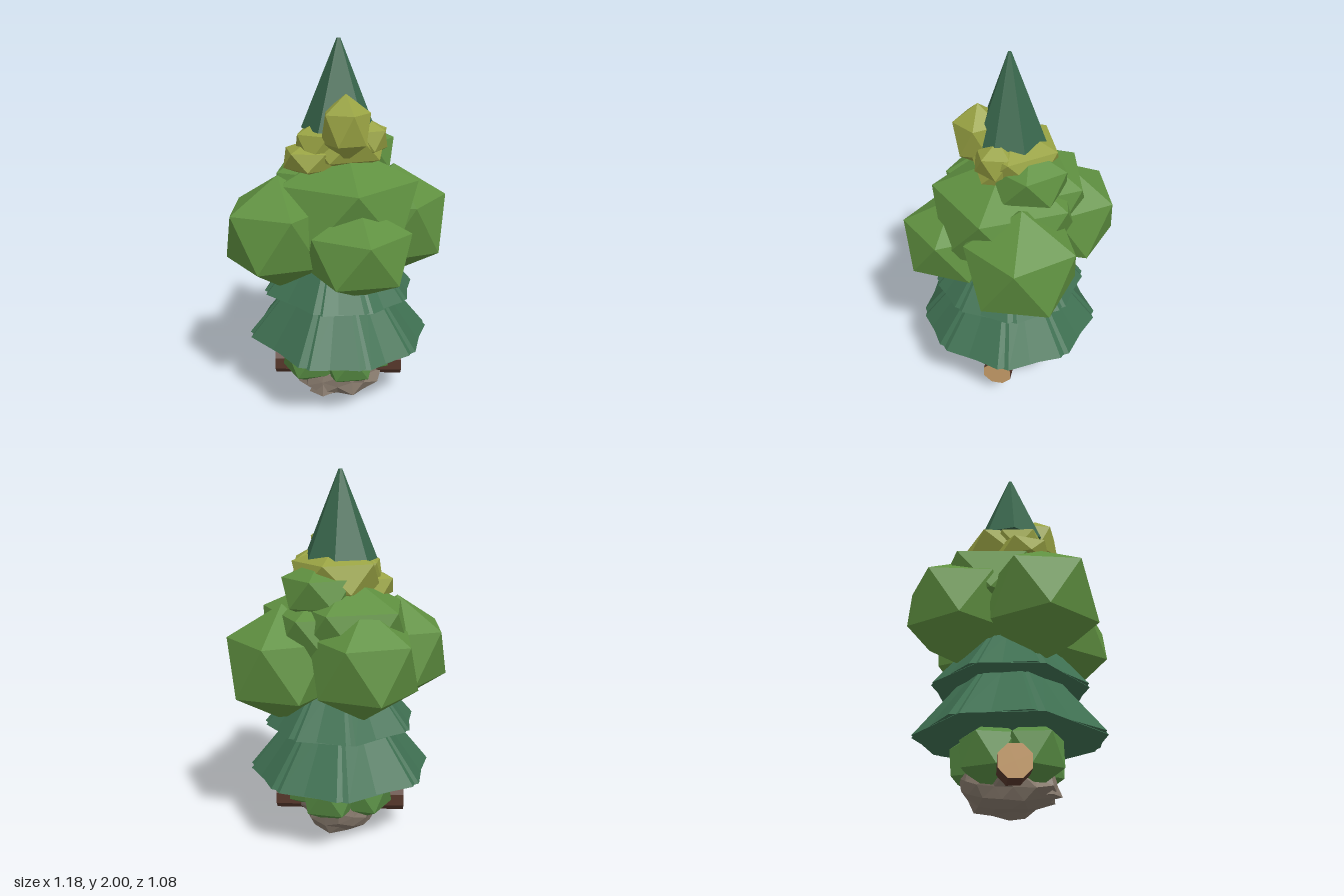
import * as THREE from 'three';

const mat = (color) => new THREE.MeshStandardMaterial({ color, flatShading: true });
const deg = Math.PI / 180;

export function createModel() {
  const model = new THREE.Group();
  const pine = mat(0x3f7052), tipPine = mat(0x38654b), leaf = mat(0x5f9040), lime = mat(0x98a243);
  const bush = mat(0x568a42), stone = mat(0x84776a), bark = mat(0x57382c), wood = mat(0xc69c68);

  const add = (name, geometry, material, x = 0, y = 0, z = 0) => {
    const mesh = new THREE.Mesh(geometry, material);
    mesh.name = name;
    mesh.position.set(x, y, z);
    model.add(mesh);
  };

  // Faceted leaf clump standing on a corner; azimuth turns its upper ring of corners
  const clump = (name, material, [x, y, z, r, h, azimuth]) => {
    const g = new THREE.IcosahedronGeometry(1, 0);
    g.rotateZ(-Math.atan(2 / (1 + Math.sqrt(5))));
    g.rotateY(-azimuth * deg);
    g.scale(r, h, r);
    add(name, g, material, x, y, z);
  };

  // Pine tier: a cone whose corners stand at the given uneven angles
  const tier = (name, material, bottom, top, rBottom, rTop, corners, turn) => {
    const n = corners.length;
    const g = new THREE.CylinderGeometry(rTop, rBottom, top - bottom, n);
    const p = g.attributes.position;
    for (let i = 0; i < p.count; i++) {
      const r = Math.hypot(p.getX(i), p.getZ(i));
      if (r < 1e-6) continue;
      const k = Math.round(Math.atan2(p.getZ(i), p.getX(i)) / (Math.PI * 2 / n) + n * 1.25 + 0.01);
      const a = (corners[k % n] + turn) * deg;
      p.setXYZ(i, r * Math.cos(a), p.getY(i), r * Math.sin(a));
    }
    add(name, g, material, 0, (bottom + top) / 2, 0);
  };
  const tipCorners = [-137, -84, -34, 12, 45, 120, 177];
  const skirtCorners = [-146, -94, -50, -8, 36, 72, 109, 168];
  tier('pineTip', tipPine, 1.55, 2, 0.195, 0.01, tipCorners, 0);
  // Two slightly turned layers make the narrow folds of each skirt
  for (const [turn, lift] of [[-3, 0], [4, 0.004]]) {
    tier('pineMiddleTier', pine, 0.66 + lift, 1.0, 0.415, 0.13, skirtCorners, turn - 6);
    tier('pineLowerTier', pine, 0.39 + lift, 0.8, 0.5, 0.17, skirtCorners, turn);
  }

  // Crown of large leaf clumps: x, y, z, radius, half height, azimuth
  [
    [-0.31, 1.02, 0.145, 0.315, 0.31, 143],
    [0.11, 0.965, 0.28, 0.3, 0.25, 78],
    [0.30, 1.01, -0.12, 0.325, 0.32, -4],
    [-0.13, 1.05, -0.275, 0.31, 0.3, -72],
    [0.04, 1.14, 0.01, 0.43, 0.32, 80],
    [-0.06, 1.2, -0.1, 0.345, 0.27, -68],
    [0.10, 1.4, -0.12, 0.22, 0.16, -78],
  ].forEach((c) => clump('crownClump', leaf, c));

  // Yellow-green clumps around the tip
  [
    [0.04, 1.575, 0.15, 0.14, 0.17, 70],
    [0.02, 1.47, -0.03, 0.26, 0.16, -75],
    [-0.08, 1.47, 0.04, 0.165, 0.14, 150],
    [-0.14, 1.4, 0.06, 0.165, 0.1, 130],
    [0.14, 1.5, 0.03, 0.13, 0.11, 30],
  ].forEach((c) => clump('limeClump', lime, c));

  // Ring of bushes at the foot
  [
    [-0.15, 0.28, 0.1, 0.18, 0.18, 150],
    [0.06, 0.27, 0.135, 0.17, 0.16, 80],
    [0.15, 0.28, 0.0, 0.18, 0.18, 0],
    [0.05, 0.28, -0.15, 0.18, 0.18, -80],
    [-0.13, 0.28, -0.1, 0.18, 0.18, 210],
  ].forEach((c) => clump('footBush', bush, c));

  // Rough stone, corners pushed in and out by a smooth rule
  const rock = new THREE.IcosahedronGeometry(1, 2);
  const p = rock.attributes.position;
  const v = new THREE.Vector3();
  for (let i = 0; i < p.count; i++) {
    v.fromBufferAttribute(p, i);
    v.multiplyScalar(1 + 0.14 * Math.sin(v.x * 11 + v.y * 7 + 1) * Math.cos(v.z * 12 - v.y * 6));
    p.setXYZ(i, v.x * 0.235, v.y * 0.155, v.z * 0.24);
  }
  rock.computeBoundingBox();
  rock.translate(0, -rock.boundingBox.min.y, 0);
  add('stone', rock, stone);
  // Peak of the stone showing between the front bushes
  add('stonePeak', new THREE.ConeGeometry(0.08, 0.18, 5), stone, -0.08, 0.18, 0.17);

  // Log lying across, with pale cut ends
  const log = new THREE.CylinderGeometry(0.083, 0.087, 0.72, 8);
  log.rotateY(22.5 * deg);
  log.rotateZ(-Math.PI / 2);
  add('log', log, [bark, wood, wood], 0, 0.195, 0);

  return model;
}
